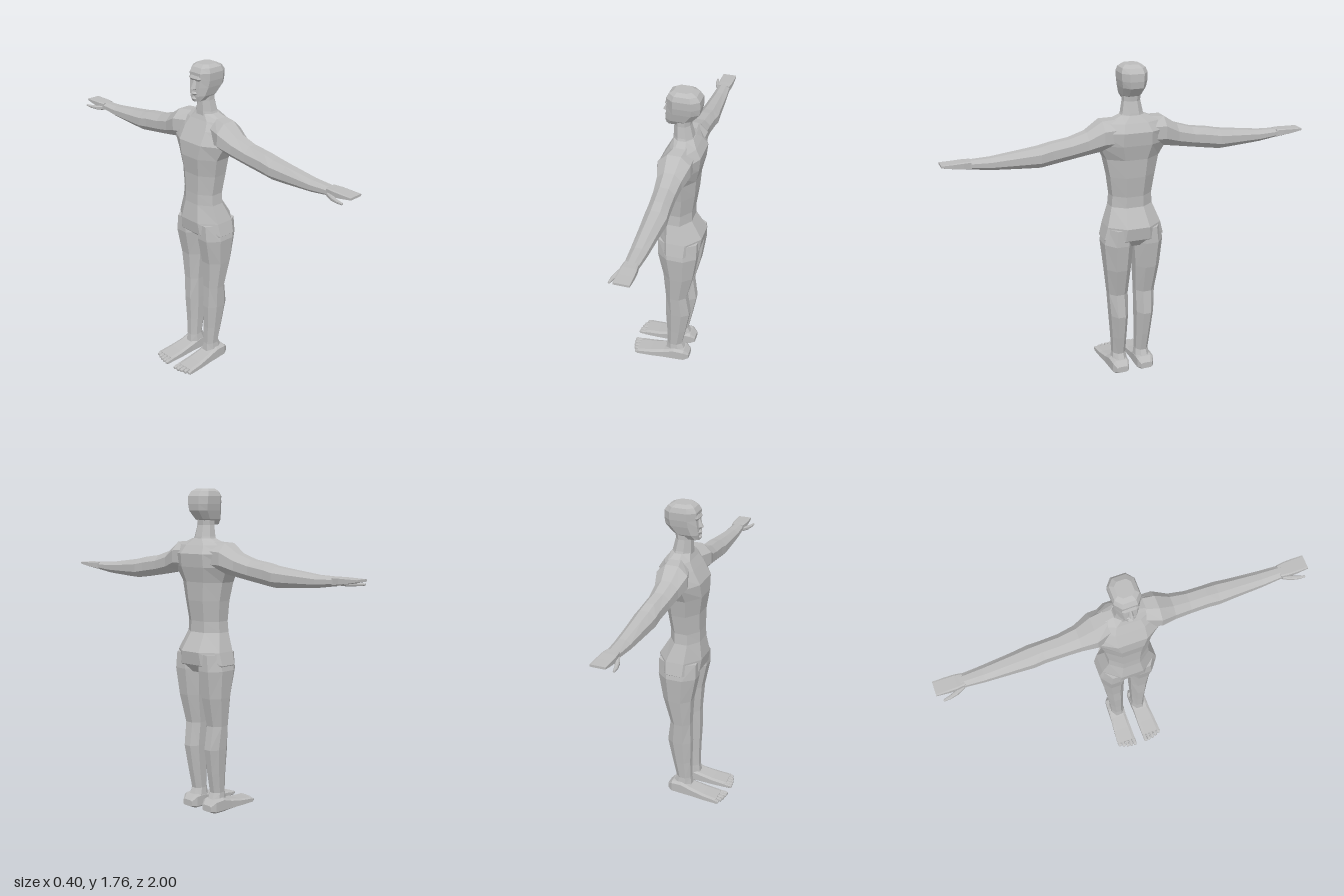
import * as THREE from 'three';

const skin = new THREE.MeshStandardMaterial({ color: 0xbcbcbc, flatShading: true });
skin.name = 'grey';

// Loft of bevelled eight-sided sections along an axis.
// Each row is [position, aMin, aMax, bMin, bMax]; k sets how boxy the corners are.
const place = {
  y: (t, a, b) => [a, t, b],
  z: (t, a, b) => [a, b, t],
  x: (t, a, b) => [t, a, b],
};
function loft(axis, rows, k = 0.42, side = 1) {
  const ring = [[1, -k], [1, k], [k, 1], [-k, 1], [-1, k], [-1, -k], [-k, -1], [k, -1]];
  const n = ring.length, pos = [], idx = [];
  for (const [t, a0, a1, b0, b1] of rows) {
    for (const [u, v] of ring) {
      const p = place[axis](t, (a0 + a1 + u * (a1 - a0)) / 2, (b0 + b1 + v * (b1 - b0)) / 2);
      pos.push(p[0], p[1], p[2] * side);
    }
  }
  for (let r = 0; r < rows.length - 1; r++) {
    for (let i = 0; i < n; i++) {
      const a = r * n + i, b = r * n + (i + 1) % n;
      idx.push(a, b, b + n, a, b + n, a + n);
    }
  }
  const last = (rows.length - 1) * n;
  for (let i = 1; i < n - 1; i++) idx.push(0, i + 1, i, last, last + i, last + i + 1);
  // Turn the faces outward if the enclosed volume comes out negative
  const p = (i) => new THREE.Vector3().fromArray(pos, i * 3);
  let volume = 0;
  for (let i = 0; i < idx.length; i += 3) volume += p(idx[i]).dot(p(idx[i + 1]).cross(p(idx[i + 2])));
  if (volume < 0) idx.reverse();
  const g = new THREE.BufferGeometry();
  g.setAttribute('position', new THREE.Float32BufferAttribute(pos, 3));
  g.setIndex(idx);
  const flat = g.toNonIndexed();
  flat.computeVertexNormals();
  return flat;
}

export function createModel() {
  const model = new THREE.Group();
  model.name = 'figure';
  const add = (name, geometry, parent = model) => {
    const m = new THREE.Mesh(geometry, skin);
    m.name = name;
    parent.add(m);
    return m;
  };

  // Torso, facing -x
  add('torso', loft('y', [
    [0.785, 0.02, 0.15, -0.11, 0.11],
    [0.83, -0.035, 0.19, -0.168, 0.168],
    [0.9, -0.045, 0.2, -0.15, 0.15],
    [1.0, -0.03, 0.14, -0.115, 0.115],
    [1.06, -0.028, 0.14, -0.11, 0.11],
    [1.17, -0.03, 0.155, -0.125, 0.125],
    [1.27, -0.045, 0.162, -0.145, 0.145],
    [1.35, -0.042, 0.18, -0.188, 0.188],
    [1.42, -0.005, 0.187, -0.185, 0.185],
    [1.465, 0.02, 0.16, -0.15, 0.15],
    [1.5, 0.035, 0.135, -0.065, 0.065],
  ]));

  // Neck
  add('neck', loft('y', [
    [1.46, 0.03, 0.14, -0.075, 0.075],
    [1.51, 0.03, 0.13, -0.056, 0.056],
    [1.57, 0.032, 0.115, -0.045, 0.045],
    [1.63, 0.03, 0.12, -0.045, 0.045],
  ]));

  // Head and face
  const head = new THREE.Group();
  head.name = 'head';
  model.add(head);
  add('skull', loft('y', [
    [1.572, -0.01, 0.06, -0.03, 0.03],
    [1.6, -0.012, 0.125, -0.05, 0.05],
    [1.645, -0.008, 0.165, -0.062, 0.062],
    [1.68, -0.004, 0.17, -0.068, 0.068],
    [1.72, -0.006, 0.168, -0.07, 0.07],
    [1.745, 0.008, 0.15, -0.062, 0.062],
    [1.76, 0.03, 0.12, -0.042, 0.042],
  ], 0.55), head);
  add('brow', loft('y', [
    [1.678, -0.006, 0.03, -0.035, 0.035],
    [1.69, -0.014, 0.03, -0.042, 0.042],
    [1.705, -0.006, 0.03, -0.04, 0.04],
  ], 0.7), head);
  add('nose', loft('y', [
    [1.63, -0.012, 0.02, -0.012, 0.012],
    [1.638, -0.03, 0.02, -0.014, 0.014],
    [1.685, -0.008, 0.02, -0.007, 0.007],
  ]), head);
  add('lips', loft('y', [
    [1.603, -0.014, 0.01, -0.015, 0.015],
    [1.612, -0.021, 0.01, -0.021, 0.021],
    [1.621, -0.014, 0.01, -0.015, 0.015],
  ]), head);
  add('chin', loft('y', [
    [1.57, -0.012, 0.02, -0.018, 0.018],
    [1.585, -0.02, 0.02, -0.02, 0.02],
    [1.598, -0.01, 0.02, -0.016, 0.016],
  ]), head);

  for (const side of [1, -1]) {
    const label = side > 0 ? 'left' : 'right';

    // Arm from shoulder to wrist
    add(label + 'Arm', loft('z', [
      [0.08, 0.02, 0.16, 1.32, 1.485],
      [0.17, -0.01, 0.16, 1.32, 1.478],
      [0.25, 0.01, 0.137, 1.305, 1.425],
      [0.34, 0.02, 0.13, 1.29, 1.398],
      [0.44, 0.026, 0.132, 1.275, 1.385],
      [0.5, 0.025, 0.137, 1.267, 1.372],
      [0.58, 0.03, 0.13, 1.27, 1.362],
      [0.75, 0.038, 0.12, 1.28, 1.342],
      [0.87, 0.045, 0.112, 1.296, 1.338],
    ], 0.42, side));

    // Flat hand with thumb
    add(label + 'Hand', loft('z', [
      [0.85, 0.045, 0.112, 1.297, 1.338],
      [0.89, 0.04, 0.118, 1.303, 1.338],
      [0.94, 0.04, 0.12, 1.31, 1.336],
      [1.0, 0.042, 0.12, 1.322, 1.334],
    ], 0.8, side));
    add(label + 'Thumb', loft('z', [
      [0.86, 0.04, 0.07, 1.295, 1.32],
      [0.9, 0.022, 0.046, 1.293, 1.315],
      [0.94, 0.012, 0.03, 1.296, 1.312],
      [0.975, 0.01, 0.02, 1.3, 1.31],
    ], 0.5, side));

    // Leg from hip to ankle
    add(label + 'Leg', loft('y', [
      [0.02, 0.015, 0.12, 0.03, 0.115],
      [0.06, 0.008, 0.125, 0.025, 0.112],
      [0.11, 0.014, 0.1, 0.032, 0.105],
      [0.22, 0.014, 0.122, 0.03, 0.113],
      [0.36, 0.008, 0.146, 0.026, 0.125],
      [0.49, 0.01, 0.127, 0.024, 0.133],
      [0.65, 0.0, 0.165, 0.014, 0.152],
      [0.8, -0.03, 0.186, 0.002, 0.166],
      [0.89, -0.03, 0.185, 0.01, 0.15],
    ], 0.42, side));

    // Foot with five toes
    const foot = new THREE.Group();
    foot.name = label + 'Foot';
    model.add(foot);
    add('sole', loft('x', [
      [0.148, 0.015, 0.05, 0.04, 0.105],
      [0.12, 0.003, 0.078, 0.025, 0.122],
      [0.06, 0, 0.082, 0.025, 0.125],
      [0, 0.002, 0.06, 0.028, 0.127],
      [-0.08, 0.004, 0.043, 0.026, 0.135],
      [-0.16, 0.006, 0.033, 0.026, 0.14],
    ], 0.7, side), foot);
    for (let i = 0; i < 5; i++) {
      const z = i ? 0.049 + (i - 1) * 0.0235 : 0.026;
      const w = i ? 0.0195 : 0.021;
      const tip = -0.2 + i * i * 0.0015;
      add('toe', loft('x', [
        [-0.145, 0.008, 0.032, z, z + w],
        [tip + 0.01, 0.008, 0.03, z, z + w],
        [tip, 0.012, 0.025, z + 0.003, z + w - 0.003],
      ], 0.6, side), foot);
    }
  }
  return model;
}
